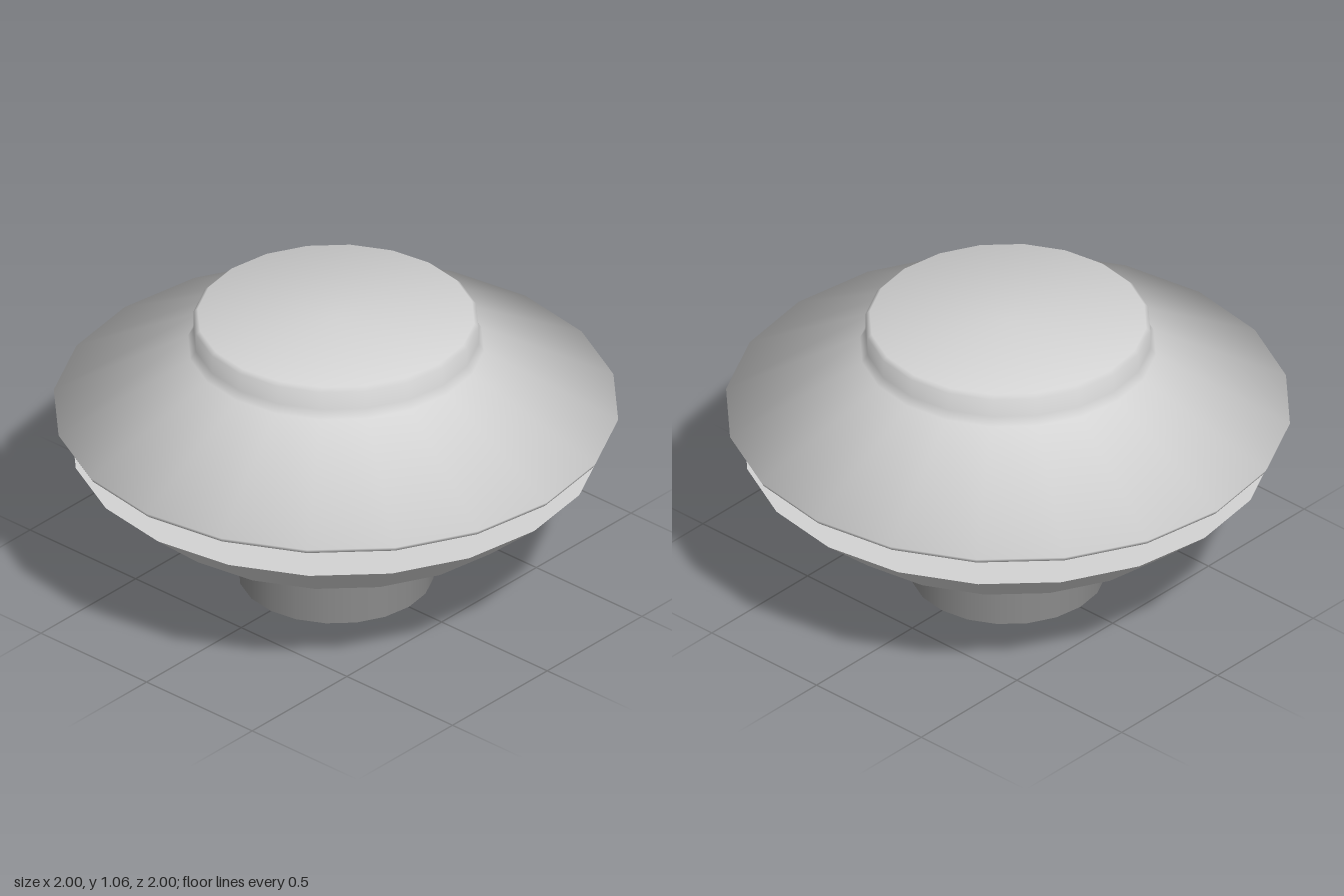
import * as THREE from 'three';

const SIDES = 20;

// Lathe whose normals average the neighbouring profile segments equally
function softLathe(points) {
  const geometry = new THREE.LatheGeometry(points, SIDES);
  const faces = points.slice(1).map((p, i) =>
    new THREE.Vector2(p.y - points[i].y, points[i].x - p.x).normalize());
  const soft = points.map((p, j) => {
    const before = faces[Math.max(j - 1, 0)];
    const after = faces[Math.min(j, faces.length - 1)];
    return before.clone().add(after).normalize();
  });
  const normal = geometry.attributes.normal;
  for (let k = 0; k < normal.count; k++) {
    const angle = Math.floor(k / points.length) / SIDES * Math.PI * 2;
    const n = soft[k % points.length];
    normal.setXYZ(k, n.x * Math.sin(angle), n.y, n.x * Math.cos(angle));
  }
  return geometry;
}

export function createModel() {
  const model = new THREE.Group();
  model.name = 'roofVent';
  const light = new THREE.MeshStandardMaterial({ color: 0xd3d3d3 });
  light.name = 'light grey metal';
  const dark = new THREE.MeshStandardMaterial({ color: 0x8a8a8a, side: THREE.DoubleSide });
  dark.name = 'dark grey metal';

  const add = (name, geometry, material, y = 0) => {
    const mesh = new THREE.Mesh(geometry, material);
    mesh.name = name;
    mesh.position.y = y;
    model.add(mesh);
  };

  // open pipe, running up into the cap
  add('pipe', new THREE.CylinderGeometry(0.345, 0.345, 0.69, SIDES, 1, true), dark, 0.345);

  // flared solid dish around the pipe
  add('dish', new THREE.CylinderGeometry(0.938, 0.73, 0.178, SIDES), light, 0.461);

  // smooth conical cap with a short raised collar on top
  const profile = [
    [0, 0.675], [0.99, 0.675], [1, 0.693], [0.525, 0.945], [0.505, 0.975],
    [0.505, 1.045], [0.49, 1.058], [0, 1.058],
  ].map(([r, y]) => new THREE.Vector2(r, y));
  add('cap', softLathe(profile), light);

  return model;
}
